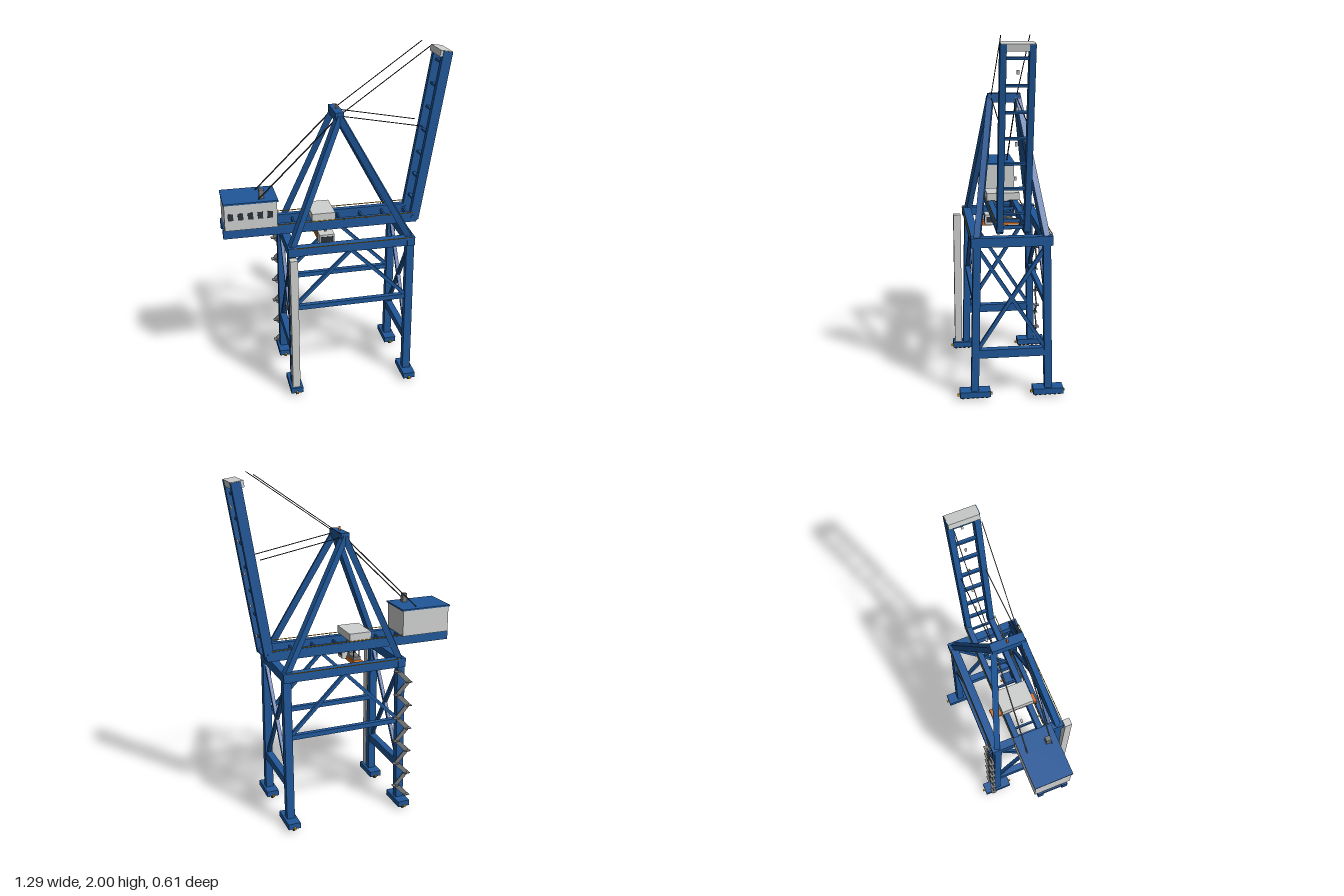
import * as THREE from 'three';

const paint = (name, color) => {
  const m = new THREE.MeshStandardMaterial({ color });
  m.name = name;
  return m;
};

export function createModel() {
  const crane = new THREE.Group();
  crane.name = 'harbourCrane';
  const blue = paint('steelBlue', 0x1f5799);
  const light = paint('lightGrey', 0xcfd1d0);
  const grey = paint('midGrey', 0x77797b);
  const dark = paint('darkRubber', 0x26282b);
  const glass = paint('darkGlass', 0x2c333c);
  const yellow = paint('safetyYellow', 0xd9a520);
  const orange = paint('spreaderOrange', 0xd9701e);

  const group = (name, parent = crane) => {
    const g = new THREE.Group();
    g.name = name;
    parent.add(g);
    return g;
  };
  // box given by its minimum and maximum on each axis
  const box = (name, mat, x0, x1, y0, y1, z0, z1, parent = crane) => {
    const m = new THREE.Mesh(new THREE.BoxGeometry(x1 - x0, y1 - y0, z1 - z0), mat);
    m.position.set((x0 + x1) / 2, (y0 + y1) / 2, (z0 + z1) / 2);
    m.name = name;
    parent.add(m);
    return m;
  };
  // straight bar between two points, w wide and h deep
  const bar = (name, mat, a, b, w, h = w, parent = crane) => {
    const p = new THREE.Vector3(...a), q = new THREE.Vector3(...b);
    const m = new THREE.Mesh(new THREE.BoxGeometry(w, h, p.distanceTo(q)), mat);
    m.position.copy(p).add(q).multiplyScalar(0.5);
    m.lookAt(q);
    m.name = name;
    parent.add(m);
    return m;
  };

  const XL = -0.285, XR = 0.405;
  const wheelGeo = new THREE.CylinderGeometry(0.013, 0.013, 0.014, 14).rotateZ(Math.PI / 2);

  // legs and bogies
  for (const x of [XL, XR]) {
    for (const s of [1, -1]) {
      bar('leg', blue, [x, 0.05, s * 0.206], [x, 0.92, s * 0.188], 0.046, 0.042);
      const bogie = group('bogie');
      box('bogieFrame', blue, x - 0.036, x + 0.036, 0.022, 0.056, s * 0.205 - 0.085, s * 0.205 + 0.085, bogie);
      for (let i = 0; i < 6; i++) {
        const w = new THREE.Mesh(wheelGeo, dark);
        w.name = 'wheel';
        w.position.set(x, 0.016, s * 0.205 + (i - 2.5) * 0.027);
        bogie.add(w);
      }
      for (const e of [1, -1]) {
        const z = s * 0.205 + e * 0.091;
        box('buffer', yellow, x - 0.006, x + 0.006, 0.022, 0.034, z - 0.007, z + 0.007, bogie);
      }
    }
    // side frame
    box('crossBeam', blue, x - 0.023, x + 0.023, 0.887, 0.94, -0.222, 0.222);
    box('sillBeam', blue, x - 0.02, x + 0.02, 0.25, 0.298, -0.19, 0.19);
    for (const s of [1, -1]) {
      bar('sideBrace', blue, [x, 0.3, s * 0.185], [x, 0.87, -s * 0.18], 0.02);
    }
  }

  // long portal beams and bracing
  for (const s of [1, -1]) {
    const z = s * 0.195;
    box('portalBeam', blue, XL - 0.02, XR + 0.015, 0.887, 0.937, z - 0.023, z + 0.023);
    box('tieBeam', blue, XL, XR, 0.537, 0.565, z - 0.014, z + 0.014);
    bar('portalBrace', blue, [0.057, 0.888, z], [-0.27, 0.562, z], 0.02);
    bar('portalBrace', blue, [0.057, 0.888, z], [0.385, 0.562, z], 0.02);
    bar('portalRail', yellow, [-0.27, 0.939, s * 0.224], [0.385, 0.939, s * 0.224], 0.004);
  }

  // fixed girders with ties, rails and lamps
  const girder = group('mainGirder');
  for (const s of [1, -1]) {
    box('girder', blue, -0.65, 0.475, 0.974, 1.03, s * 0.072 - 0.016, s * 0.072 + 0.016, girder);
    bar('walkwayRail', yellow, [-0.64, 1.037, s * 0.097], [0.45, 1.037, s * 0.097], 0.004, 0.004, girder);
    for (let i = 0; i < 9; i++) {
      const x = -0.63 + i * 0.134;
      bar('railPost', yellow, [x, 1.026, s * 0.085], [x, 1.037, s * 0.097], 0.004, 0.004, girder);
    }
  }
  for (let i = 0; i < 9; i++) {
    const x = -0.64 + i * 0.1345;
    box('girderTie', blue, x - 0.005, x + 0.005, 0.99, 1.01, -0.06, 0.06, girder);
  }
  for (let i = 0; i < 5; i++) {
    const x = -0.383 + i * 0.183;
    box('lamp', light, x - 0.01, x + 0.01, 0.966, 0.976, -0.006, 0.006, girder);
  }

  // raised boom, built along its own +y
  const boom = group('raisedBoom');
  boom.position.set(0.461, 0.99, 0);
  boom.rotation.z = -0.157;
  for (const s of [1, -1]) {
    box('boomGirder', blue, -0.027, 0.027, 0, 0.985, s * 0.072 - 0.016, s * 0.072 + 0.016, boom);
    const hinge = new THREE.Mesh(new THREE.CylinderGeometry(0.022, 0.022, 0.036, 16).rotateX(Math.PI / 2), blue);
    hinge.name = 'boomHinge';
    hinge.position.set(0, 0.008, s * 0.072);
    boom.add(hinge);
  }
  for (let i = 0; i < 7; i++) {
    const y = 0.1 + i * 0.1355;
    box('boomTie', blue, -0.01, 0.01, y - 0.006, y + 0.006, -0.06, 0.06, boom);
  }
  for (let i = 0; i < 5; i++) {
    const y = 0.12 + i * 0.183;
    box('boomLamp', light, 0.026, 0.034, y - 0.01, y + 0.01, -0.006, 0.006, boom);
  }
  box('boomTipPlatform', light, -0.042, 0.026, 0.952, 0.988, -0.084, 0.084, boom);

  // A-frame with apex beam and beacon
  for (const s of [1, -1]) {
    for (const x of [XL, XR]) {
      bar('mastLeg', blue, [x, 0.925, s * 0.187], [0.013, 1.64, s * 0.075], 0.034, 0.036);
    }
  }
  box('apexBeam', blue, -0.011, 0.037, 1.612, 1.662, -0.092, 0.092);
  const beacon = new THREE.Mesh(new THREE.CylinderGeometry(0.006, 0.006, 0.024, 10), orange);
  beacon.name = 'beacon';
  beacon.position.set(0.013, 1.674, 0);
  crane.add(beacon);

  // stays
  for (const s of [1, -1]) {
    const z = s * 0.072, apex = [0.013, 1.64, z];
    bar('backStay', dark, apex, [-0.445, 1.19, z], 0.006);
    bar('upperStay', dark, apex, [0.518, 1.998, z], 0.004);
    bar('lowerStay', dark, apex, [0.495, 1.548, z], 0.004);
  }

  // machinery house
  const house = group('machineryHouse');
  box('houseWalls', light, -0.64, -0.345, 1.03, 1.184, -0.105, 0.105, house);
  box('houseRoof', blue, -0.645, -0.338, 1.184, 1.193, -0.112, 0.112, house);
  for (let i = 0; i < 5; i++) {
    const x = -0.606 + i * 0.0553;
    box('window', glass, x - 0.015, x + 0.015, 1.09, 1.13, 0.104, 0.107, house);
  }
  box('chimney', grey, -0.439, -0.411, 1.193, 1.245, 0.042, 0.07, house);

  // trolley, operator cab and spreader
  const trolley = group('trolley');
  box('trolleyBody', light, -0.146, -0.012, 1.037, 1.081, -0.095, 0.095, trolley);
  box('operatorCab', light, -0.105, -0.018, 0.89, 0.95, 0.035, 0.105, trolley);
  box('cabWindow', glass, -0.019, -0.016, 0.905, 0.938, 0.042, 0.098, trolley);
  box('cabWindow', glass, -0.098, -0.025, 0.905, 0.938, 0.104, 0.107, trolley);
  bar('cabHanger', grey, [-0.06, 0.95, 0.05], [-0.06, 1.04, 0.05], 0.012, 0.012, trolley);
  box('headBlock', grey, -0.095, -0.05, 0.905, 0.925, -0.06, 0.03, trolley);
  box('spreader', orange, -0.1, -0.045, 0.88, 0.905, -0.14, 0.14, trolley);
  for (const x of [-0.09, -0.055]) {
    for (const z of [-0.05, 0.02]) {
      bar('hoistRope', dark, [x, 0.92, z], [x, 1.04, z], 0.004, 0.004, trolley);
    }
  }
  for (const x of [-0.1, -0.045]) {
    for (const z of [-0.135, 0.135]) {
      box('cornerFlipper', grey, x - 0.006, x + 0.006, 0.868, 0.885, z - 0.005, z + 0.005, trolley);
    }
  }

  // lift shaft
  box('liftShaft', light, -0.308, -0.264, 0.056, 0.89, 0.234, 0.278);

  // zigzag stair on the rear leg
  const stair = group('stair');
  const step = 0.0727;
  for (let i = 0; i < 11; i++) {
    const y = 0.075 + i * step, s = i % 2 ? 1 : -1;
    bar('flight', grey, [XL + s * 0.034, y, -0.24], [XL - s * 0.034, y + step, -0.24], 0.005, 0.026, stair);
  }
  for (let i = 0; i < 12; i++) {
    const y = 0.072 + i * step, x = XL + (i % 2 ? 1 : -1) * 0.036;
    box('landing', grey, x - 0.018, x + 0.018, y - 0.002, y + 0.002, -0.255, -0.225, stair);
  }
  return crane;
}
